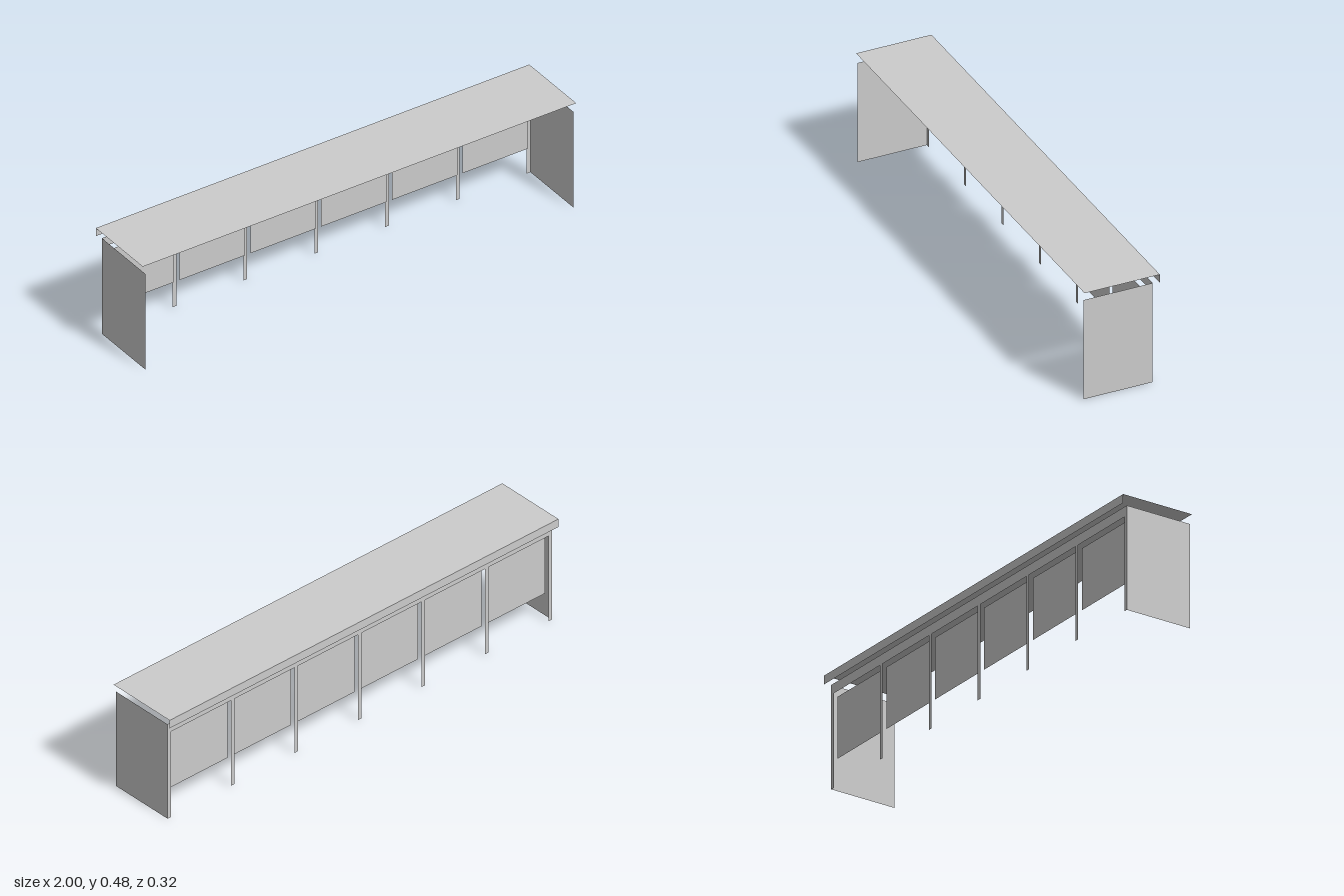
import * as THREE from 'three';

const material = new THREE.MeshStandardMaterial({
  color: 0xcccccc, side: THREE.DoubleSide, flatShading: true,
});

// Thin upright sheet facing the back, given by its x and y limits and depth
function sheet(name, x0, x1, y0, y1, z) {
  const mesh = new THREE.Mesh(new THREE.PlaneGeometry(x1 - x0, y1 - y0), material);
  mesh.name = name;
  mesh.rotation.y = Math.PI;
  mesh.position.set((x0 + x1) / 2, (y0 + y1) / 2, z);
  return mesh;
}

export function createModel() {
  const group = new THREE.Group();
  group.name = 'shelter';

  const bays = 6, half = 0.98, pitch = (2 * half) / bays;
  const postHalf = 0.0085, gapHalf = 0.0125;
  const backZ = -0.135, frontZ = 0.16, panelZ = -0.12;
  const eaveY = 0.44, roofY = 0.477, beamY = 0.398;

  // Flat roof with a fascia hanging from its back edge
  const roof = new THREE.Mesh(new THREE.PlaneGeometry(2, 0.32), material);
  roof.name = 'roof';
  roof.rotation.x = -Math.PI / 2;
  roof.position.y = roofY;
  group.add(roof);
  group.add(sheet('rearFascia', -1, 1, eaveY, roofY, -0.16));

  // Beam along the tops of the posts
  const edge = half + postHalf;
  group.add(sheet('rearBeam', -edge, edge, beamY, eaveY, backZ));

  // Posts, with a back panel in each bay
  for (let i = 0; i <= bays; i++) {
    const x = -half + i * pitch;
    group.add(sheet('post', x - postHalf, x + postHalf, 0, beamY, backZ));
    if (i < bays) {
      group.add(sheet('backPanel', x + gapHalf, x + pitch - gapHalf, 0.125, 0.386, panelZ));
    }
  }

  // Full-height end walls
  for (const side of [-1, 1]) {
    const wall = new THREE.Mesh(new THREE.PlaneGeometry(frontZ - backZ, eaveY), material);
    wall.name = side > 0 ? 'leftEndWall' : 'rightEndWall';
    wall.rotation.y = side * Math.PI / 2;
    wall.position.set(side * edge, eaveY / 2, (frontZ + backZ) / 2);
    group.add(wall);
  }
  return group;
}
